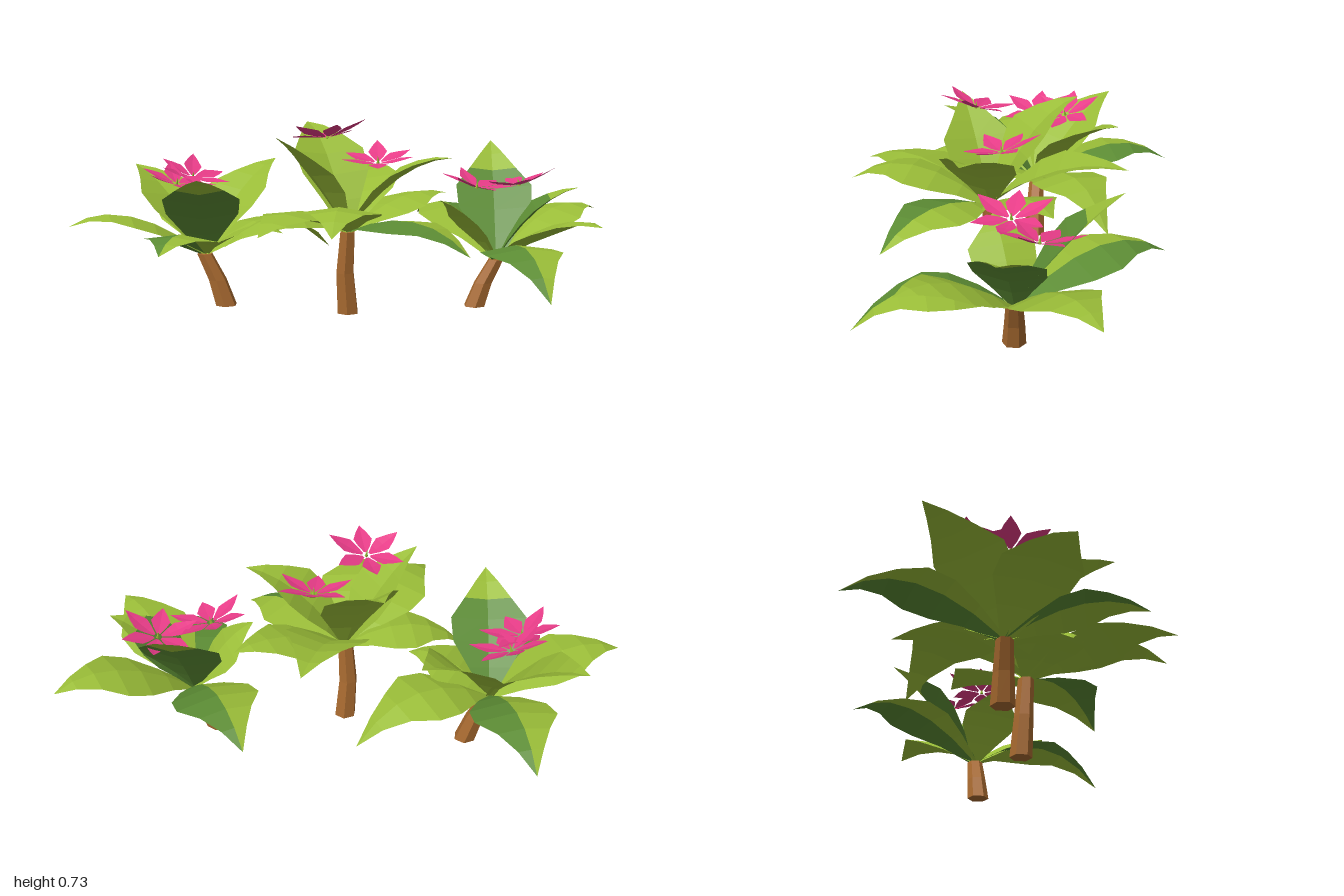
import * as THREE from 'three';

const mat = (name, color) => Object.assign(
  new THREE.MeshStandardMaterial({ color, flatShading: true, side: THREE.DoubleSide }), { name });

// Tapered, creased blade along a quadratic curve; one side or the base can take the second material
function blade(name, base, ctrl, tip, halfWidth, fold, profile, mats, dark = '') {
  const curve = new THREE.QuadraticBezierCurve3(base, ctrl, tip);
  const d = tip.clone().sub(base).setY(0).normalize();
  const side = new THREE.Vector3(-d.z, 0, d.x);
  const n = profile.length - 1;
  const rows = profile.map((f, i) => {
    const p = curve.getPoint(i / n);
    const t = curve.getTangent(i / n);
    const up = side.clone().cross(t).normalize();
    const w = f * halfWidth;
    const edge = (s) => p.clone().addScaledVector(side, s * w).addScaledVector(up, fold * w);
    return [edge(-1), p, edge(1)];
  });
  const faces = [[], []];
  for (let i = 0; i < n; i++) {
    for (let k = 0; k < 2; k++) {
      const isDark = (dark === 'side' && k === 1) || (dark === 'base' && i < n * 0.6);
      const [a, b, c, e] = [rows[i][k], rows[i][k + 1], rows[i + 1][k + 1], rows[i + 1][k]];
      faces[isDark ? 1 : 0].push(a, b, c, a, c, e);
    }
  }
  const geo = new THREE.BufferGeometry().setFromPoints([...faces[0], ...faces[1]]);
  geo.addGroup(0, faces[0].length, 0);
  if (faces[1].length) geo.addGroup(faces[0].length, faces[1].length, 1);
  geo.computeVertexNormals();
  const mesh = new THREE.Mesh(geo, mats);
  mesh.name = name;
  return mesh;
}

// Six-sided stem bent from its foot to its crown
function makeTrunk(foot, crown, bend, material) {
  const h = crown.y;
  const geo = new THREE.CylinderGeometry(0.03, 0.042, h, 6, 2).translate(0, h / 2, 0);
  const p = geo.attributes.position;
  for (let i = 0; i < p.count; i++) {
    const t = p.getY(i) / h;
    const b = Math.sin(t * Math.PI) * bend;
    p.setX(i, p.getX(i) + THREE.MathUtils.lerp(foot[0], crown.x, t) + b);
    p.setZ(i, p.getZ(i) + THREE.MathUtils.lerp(foot[1], crown.z, t));
  }
  geo.computeVertexNormals();
  const mesh = new THREE.Mesh(geo, material);
  mesh.name = 'trunk';
  return mesh;
}

export function createModel() {
  const light = mat('leaf green', 0x9abd38);
  const deep = mat('deep leaf green', 0x5c8c34);
  const pink = mat('petal pink', 0xe83c88);
  const bark = mat('bark brown', 0xa86a30);
  const V = (x, y, z) => new THREE.Vector3(x, y, z);

  // Six slightly upturned petals round a short stamen
  function makeFlower([x, y, z, tiltX, tiltZ, turn]) {
    const flower = new THREE.Group();
    flower.name = 'flower';
    for (let i = 0; i < 6; i++) {
      const a = turn + (i * Math.PI) / 3;
      const r = i % 2 ? 0.14 : 0.15;
      const at = (q, h) => V(Math.cos(a) * q, h, Math.sin(a) * q);
      flower.add(blade('petal', at(0.015, 0), at(r * 0.5, 0.008), at(r, i % 2 ? 0.022 : 0.04),
        0.035, 0.12, [0.15, 0.65, 1, 0.6, 0], [pink]));
    }
    const stamen = new THREE.Mesh(new THREE.ConeGeometry(0.006, 0.03, 4).translate(0, 0.01, 0), light);
    stamen.name = 'stamen';
    flower.add(stamen);
    flower.position.set(x, y, z);
    flower.rotation.set(tiltX, 0, tiltZ);
    return flower;
  }

  // Leaves: tip x, y, z, arch height, deep-coloured region
  const plants = [
    {
      name: 'leftPlant', foot: [-0.45, -0.06], crown: V(-0.53, 0.2, -0.06), bend: 0.008,
      leaves: [
        [-1.0, 0.33, 0.12, 0.45], [-0.85, 0.51, -0.34, 0.46], [-0.69, 0.27, -0.59, 0.46, 'side'],
        [-0.29, 0.53, -0.4, 0.48], [-0.07, 0.17, -0.38, 0.45], [-0.49, 0.53, 0.32, 0.46, 'base'],
        [-0.61, 0.28, 0.41, 0.4, 'side'], [-0.22, 0.3, 0.05, 0.38],
      ],
      flowers: [[-0.59, 0.48, -0.17, 0.2, -0.3, 0.3], [-0.63, 0.47, -0.05, 0.1, -0.25, 0.1]],
    },
    {
      name: 'middlePlant', foot: [0.02, 0.04], crown: V(0.02, 0.31, 0.06), bend: -0.01,
      leaves: [
        [-0.01, 0.38, 0.59, 0.55], [-0.25, 0.38, 0.58, 0.52], [0.45, 0.28, 0.38, 0.46, 'side'],
        [0.39, 0.42, -0.21, 0.48], [0.4, 0.59, 0.11, 0.58], [0.11, 0.5, -0.45, 0.54],
        [-0.15, 0.69, -0.25, 0.66], [-0.23, 0.67, 0.2, 0.56], [-0.42, 0.27, 0.18, 0.46],
      ],
      flowers: [[-0.05, 0.665, 0.12, -0.2, 0.15, 0.2], [0.13, 0.56, 0.0, 0.2, 0.04, 0.5]],
    },
    {
      name: 'rightPlant', foot: [0.5, -0.09], crown: V(0.58, 0.18, -0.1), bend: -0.008,
      leaves: [
        [0.29, 0.28, -0.59, 0.46, 'side'], [0.58, 0.6, -0.45, 0.46, 'base'], [1.0, 0.33, -0.41, 0.45],
        [0.88, 0.46, -0.08, 0.42, 'base'], [0.92, 0.36, 0.23, 0.42], [0.72, 0.13, 0.42, 0.4, 'side'],
        [0.36, 0.42, 0.0, 0.4],
      ],
      flowers: [[0.5, 0.46, -0.08, 0.05, -0.2, 0.1], [0.67, 0.455, -0.19, -0.08, 0.2, 0.4]],
    },
  ];

  const model = new THREE.Group();
  model.name = 'floweringPlants';
  for (const { name, foot, crown, bend, leaves, flowers } of plants) {
    const plant = new THREE.Group();
    plant.name = name;
    plant.add(makeTrunk(foot, crown, bend, bark));
    for (const [x, y, z, arch, dark] of leaves) {
      // Upright leaves are cupped, drooping ones are ridged
      const tip = V(x, y, z);
      const upright = y > 0.45;
      const ctrl = crown.clone().lerp(tip, upright ? 0.5 : 0.6).setY(arch);
      const width = 0.07 + 0.14 * crown.distanceTo(tip);
      plant.add(blade('leaf', crown, ctrl, tip, width, upright ? 0.2 : -0.15,
        [0.12, 0.55, 0.95, 1, 0.62, 0.3, 0], [light, deep], dark));
    }
    flowers.forEach((f) => plant.add(makeFlower(f)));
    model.add(plant);
  }
  return model;
}
